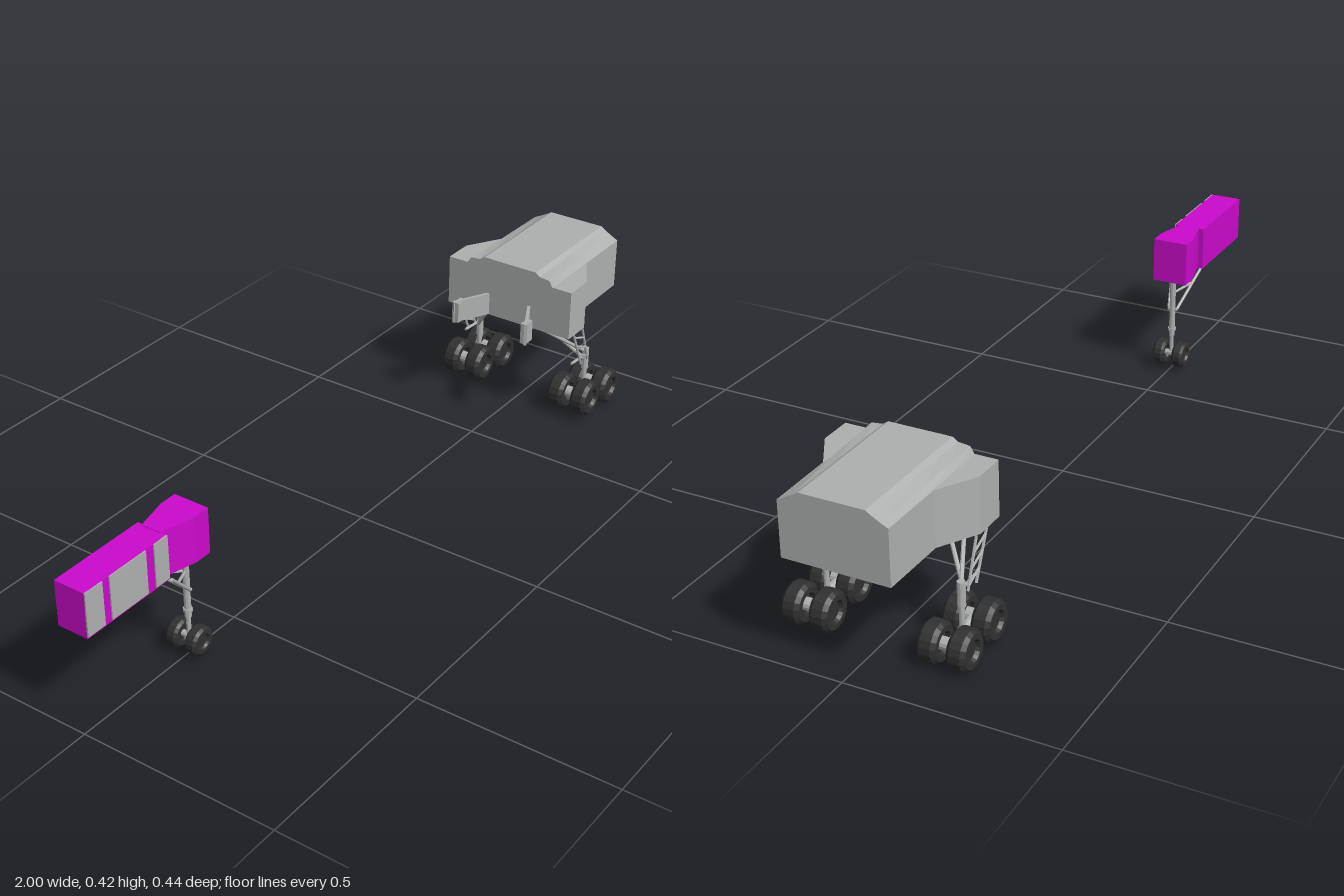
import * as THREE from 'three';

const mat = (name, color, extra = {}) => {
  const m = new THREE.MeshStandardMaterial({ color, flatShading: true, ...extra });
  m.name = name;
  return m;
};

export function createModel() {
  const root = new THREE.Group();
  root.name = 'landingGear';
  const grey = mat('lightGrey', 0xaeb0b0);
  const magenta = mat('magenta', 0xcc0acc);
  const rubber = mat('tyreBlack', 0x303030);

  const add = (parent, name, geo, material, x = 0, y = 0, z = 0) => {
    const m = new THREE.Mesh(geo, material);
    m.name = name;
    m.position.set(x, y, z);
    parent.add(m);
    return m;
  };
  const box = (parent, name, material, x0, x1, y0, y1, z0, z1) =>
    add(parent, name, new THREE.BoxGeometry(x1 - x0, y1 - y0, z1 - z0), material,
      (x0 + x1) / 2, (y0 + y1) / 2, (z0 + z1) / 2);
  // round bar between two points
  const rod = (parent, name, a, b, r, sides = 10) => {
    const A = new THREE.Vector3(...a), B = new THREE.Vector3(...b);
    const d = B.clone().sub(A);
    const m = add(parent, name, new THREE.CylinderGeometry(r, r, d.length(), sides), grey);
    m.position.copy(A).add(B).multiplyScalar(0.5);
    m.quaternion.setFromUnitVectors(new THREE.Vector3(0, 1, 0), d.normalize());
    return m;
  };
  // tyre with chamfered shoulders and a recessed hub, axis along z
  const wheel = (parent, name, x, y, z, r, w) => {
    const h = w / 2;
    const profile = [[0, -h * 0.6], [r * 0.45, -h * 0.6], [r * 0.55, -h], [r * 0.82, -h], [r, -h * 0.6],
      [r, h * 0.6], [r * 0.82, h], [r * 0.55, h], [r * 0.45, h * 0.6], [0, h * 0.6]]
      .map(([a, b]) => new THREE.Vector2(a, b));
    const geo = new THREE.LatheGeometry(profile, 18);
    geo.rotateX(Math.PI / 2);
    add(parent, name, geo, rubber, x, y, z);
  };
  // plan outline given as [x, z] pairs
  const plan = pts => new THREE.Shape(pts.map(p => new THREE.Vector2(...p)));

  // ---- nose bay ----
  const nose = new THREE.Group();
  nose.name = 'noseGear';
  root.add(nose);
  box(nose, 'noseBay', magenta, -1, -0.745, 0.267, 0.38, -0.045, 0.035);
  const flare = new THREE.ExtrudeGeometry(plan([[-0.75, 0.02], [-0.75, -0.03], [-0.665, -0.05],
    [-0.62, -0.05], [-0.62, 0.042], [-0.665, 0.042]]), { depth: 0.115, bevelEnabled: false });
  flare.rotateX(Math.PI / 2);
  add(nose, 'noseBayFlare', flare, magenta, 0, 0.382, 0);
  for (const [a, b] of [[-1, -0.948], [-0.927, -0.815], [-0.79, -0.747]])
    box(nose, 'noseDoorPanel', grey, a, b, 0.272, 0.38, 0.034, 0.038);

  // ---- nose leg ----
  const nx = -0.655;
  rod(nose, 'noseUpperStrut', [nx, 0.1, 0], [nx, 0.28, 0], 0.008);
  rod(nose, 'noseStrutCollar', [nx, 0.115, 0], [nx, 0.123, 0], 0.011);
  rod(nose, 'noseLowerStrut', [nx, 0.045, 0], [nx, 0.11, 0], 0.0055);
  rod(nose, 'noseAxle', [nx, 0.048, -0.03], [nx, 0.048, 0.03], 0.008);
  for (const s of [-1, 1]) {
    wheel(nose, 'noseWheel', nx, 0.048, s * 0.027, 0.035, 0.03);
    rod(nose, 'noseDragBrace', [-0.745, 0.267, s * 0.04], [nx - 0.003, 0.178, s * 0.012], 0.004, 6);
    rod(nose, 'noseBraceTie', [-0.715, 0.237, s * 0.03], [nx, 0.222, 0], 0.0035, 6);
    rod(nose, 'noseBraceFoot', [nx, 0.178, s * 0.012], [nx, 0.168, 0], 0.004, 6);
  }

  // ---- main bay: cross-sections along x, half-widths flared at the wheel end ----
  const stations = [[0.66, 0.184], [0.74, 0.184], [0.83, 0.13], [1, 0.128]];
  const rings = stations.map(([x, w]) => {
    const t = (x - 0.66) / 0.34;
    const mix = (a, b) => a + (b - a) * t;
    const half = [[w, 0.264], [w, 0.397], [0.128, 0.397], [mix(0.118, 0.112), mix(0.413, 0.405)],
      [mix(0.09, 0.088), mix(0.416, 0.418)], [0.077, 0.425]];
    return [...half.map(([z, y]) => [x, y, z]), ...half.reverse().map(([z, y]) => [x, y, -z])];
  });
  const pos = [];
  const quad = (a, b, c, d) => pos.push(...a, ...b, ...c, ...a, ...c, ...d);
  const n = rings[0].length;
  for (let i = 0; i < rings.length - 1; i++)
    for (let j = 0; j < n - 1; j++)
      quad(rings[i][j], rings[i + 1][j], rings[i + 1][j + 1], rings[i][j + 1]);
  const first = rings[0], last = rings[rings.length - 1];
  for (let j = 0; j < n / 2 - 1; j++) {
    const k = n - 1 - j;
    quad(last[j], last[k], last[k - 1], last[j + 1]);
    quad(first[k], first[j], first[j + 1], first[k - 1]);
  }
  const bay = new THREE.BufferGeometry();
  bay.setAttribute('position', new THREE.Float32BufferAttribute(pos, 3));
  bay.computeVertexNormals();
  add(root, 'mainBay', bay, grey);
  const floor = new THREE.ShapeGeometry(plan([...stations,
    ...[...stations].reverse().map(([x, w]) => [x, -w])]));
  floor.rotateX(Math.PI / 2);
  add(root, 'mainBayFloor', floor, magenta, 0, 0.264, 0);

  // ---- main legs, mirrored in z ----
  for (const s of [-1, 1]) {
    const leg = new THREE.Group();
    leg.name = s > 0 ? 'frontMainGear' : 'backMainGear';
    root.add(leg);
    const z = s * 0.165, x = 0.793;

    // forward door plate with a thicker outer end
    const door = box(leg, 'mainDoor', grey, -0.055, 0.055, 0.265, 0.325, -0.004, 0.004);
    door.position.set(0.615, 0.295, s * 0.085);
    door.rotation.y = s * 0.47;
    box(leg, 'mainDoorEnd', grey, 0.567, 0.6, 0.267, 0.323, s * 0.102 - 0.008, s * 0.102 + 0.008);

    // strut and bogie
    rod(leg, 'mainUpperStrut', [x, 0.115, z], [x, 0.175, z], 0.0095);
    rod(leg, 'mainLowerStrut', [x, 0.055, z], [x, 0.12, z], 0.0065);
    rod(leg, 'bogieBeam', [0.74, 0.062, z], [0.845, 0.051, z], 0.011);
    for (const [wx, wy] of [[0.74, 0.062], [0.845, 0.051]]) {
      rod(leg, 'bogieAxle', [wx, wy, z - s * 0.03], [wx, wy, z + s * 0.03], 0.015, 12);
      for (const o of [-0.0345, 0.0345])
        wheel(leg, 'mainWheel', wx, wy, z + s * o, 0.048, 0.045);
    }

    // braces running up to the bay
    rod(leg, 'dragBrace', [x, 0.165, z], [0.662, 0.268, s * 0.105], 0.005, 8);
    rod(leg, 'sideBrace', [x - 0.01, 0.15, z], [0.7, 0.268, s * 0.075], 0.005, 8);
    rod(leg, 'braceLink', [x, 0.155, z], [0.7, 0.165, s * 0.165].map((v, i) => [0.72, 0.16, z][i]), 0.004, 6);
    // outer ladder truss
    const tz = s * 0.176;
    rod(leg, 'trussRail', [0.7, 0.26, tz], [0.75, 0.15, tz], 0.0035, 6);
    rod(leg, 'trussRail', [0.745, 0.26, tz], [0.785, 0.15, tz], 0.0035, 6);
    for (let i = 0; i < 3; i++) {
      const y = 0.245 - i * 0.032, a = 0.707 + i * 0.0145, b = 0.757 + i * 0.0115;
      rod(leg, 'trussRung', [a, y, tz], [b, y - 0.02, tz], 0.003, 6);
    }
  }
  return root;
}
